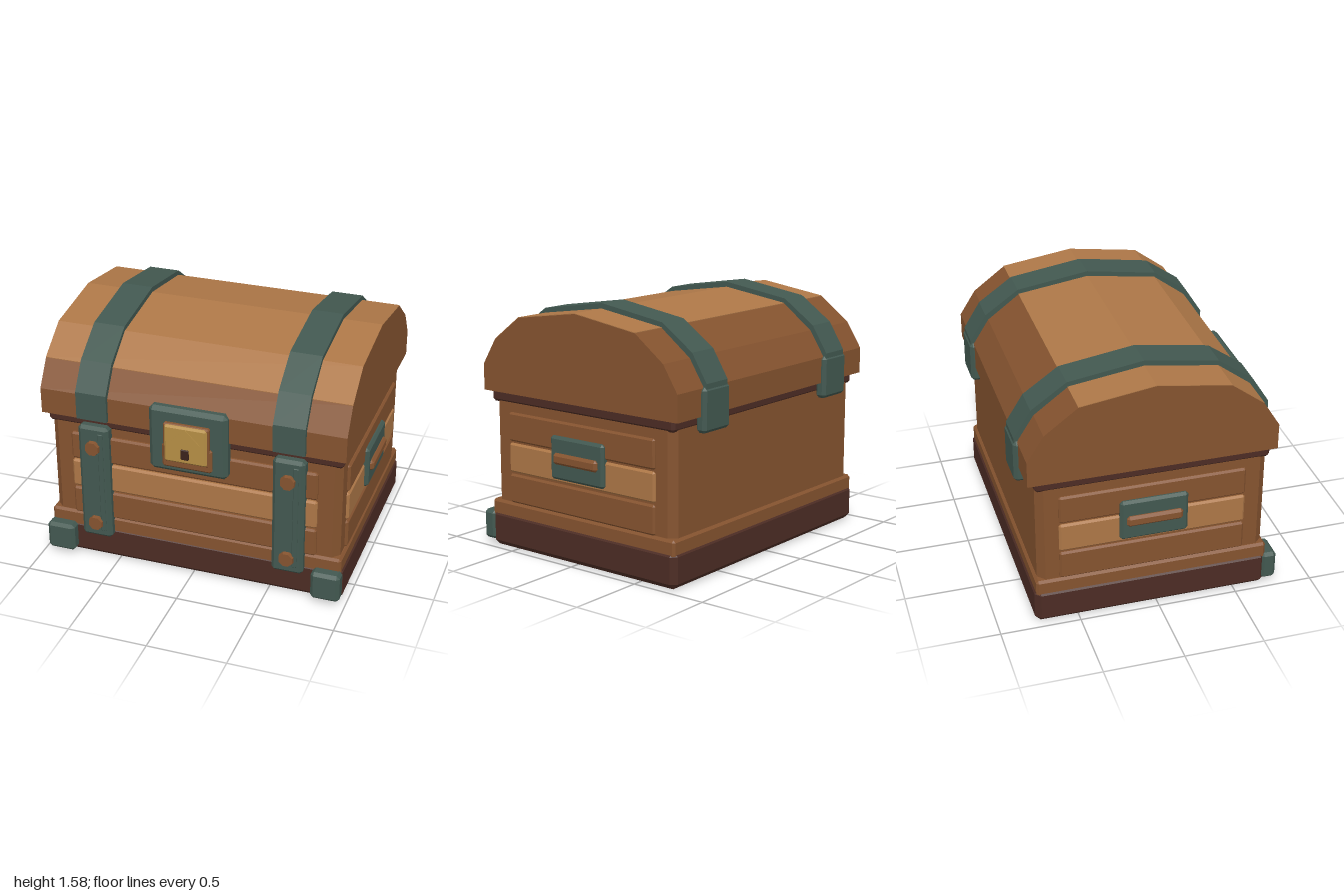
import * as THREE from 'three';
import { ConvexGeometry } from 'three/addons/geometries/ConvexGeometry.js';

const material = (name, color) => {
  const m = new THREE.MeshStandardMaterial({ color });
  m.name = name;
  return m;
};

export function createModel() {
  const wood = material('wood', 0x85532f);
  const lightWood = material('light wood', 0xad7747);
  const darkWood = material('dark wood', 0x4c2c24);
  const iron = material('iron', 0x425850);
  const brass = material('brass', 0xb58e45);
  const keyholeDark = material('keyhole dark', 0x3a221b);

  const chest = new THREE.Group();
  chest.name = 'chest';

  const add = (name, geometry, mat) => {
    const mesh = new THREE.Mesh(geometry, mat);
    mesh.name = name;
    chest.add(mesh);
    return mesh;
  };

  // Box with cut corners, given by its [min, max] ranges
  const block = (name, mat, [x0, x1], [y0, y1], [z0, z1], c) => {
    const w = (x1 - x0) / 2, h = (y1 - y0) / 2, d = (z1 - z0) / 2;
    const points = [];
    for (const a of [-1, 1]) for (const b of [-1, 1]) for (const e of [-1, 1]) {
      points.push(
        new THREE.Vector3(a * w, b * (h - c), e * (d - c)),
        new THREE.Vector3(a * (w - c), b * h, e * (d - c)),
        new THREE.Vector3(a * (w - c), b * (h - c), e * d));
    }
    const mesh = add(name, new ConvexGeometry(points), mat);
    mesh.position.set((x0 + x1) / 2, (y0 + y1) / 2, (z0 + z1) / 2);
    return mesh;
  };

  // Side profile of [z, y] points, extruded across x
  const across = (name, mat, points, width, x = 0) => {
    const shape = new THREE.Shape(points.map(([z, y]) => new THREE.Vector2(z, y)));
    const geometry = new THREE.ExtrudeGeometry(shape, { depth: width, bevelEnabled: false });
    geometry.translate(0, 0, -width / 2).rotateY(-Math.PI / 2);
    add(name, geometry, mat).position.x = x;
  };

  // Base, body and rim
  block('base', darkWood, [-0.965, 0.965], [0, 0.235], [-0.77, 0.71], 0.035);
  block('baseTrim', wood, [-0.955, 0.955], [0.19, 0.3], [-0.76, 0.705], 0.015);
  block('body', wood, [-0.935, 0.935], [0.1, 0.99], [-0.743, 0.688], 0.045);
  block('rim', darkWood, [-0.945, 0.945], [0.93, 1.02], [-0.75, 0.7], 0.018);

  // Planks on the front and both sides
  [[0.3, 0.485], [0.497, 0.683], [0.695, 0.878]].forEach((ys, i) => {
    const mat = i === 1 ? lightWood : wood;
    block('frontPlank', mat, [-0.795, 0.795], ys, [0.66, 0.712], 0.012);
    block('rightPlank', mat, [-0.952, -0.9], ys, [-0.612, 0.552], 0.012);
    block('leftPlank', mat, [0.9, 0.952], ys, [-0.612, 0.552], 0.012);
  });

  // Faceted lid with lighter boards over the top
  const lid = [[0.735, 1], [0.735, 1.165], [0.633, 1.327], [0.428, 1.48], [-0.03, 1.547],
    [-0.49, 1.48], [-0.695, 1.327], [-0.798, 1.165], [-0.798, 1]];
  across('lid', wood, lid, 1.94);
  const boards = lid.slice(2, 6);
  const raised = boards.map(([z, y]) => [z, y + 0.004]).reverse();
  across('lidTopBoards', lightWood, [...boards, ...raised], 1.94);

  // Bands over the lid, following its facets
  const bandOuter = [[0.758, 1.01], [0.758, 1.19], [0.65, 1.36], [0.432, 1.513], [-0.03, 1.584],
    [-0.494, 1.513], [-0.712, 1.36], [-0.818, 1.19], [-0.818, 1.01]];
  const bandInner = lid.map(([z, y]) => [z * 0.985, Math.max(1.01, y - 0.01)]).reverse();

  const rivet = new THREE.CylinderGeometry(0.046, 0.054, 0.04, 8).toNonIndexed();
  rivet.rotateY(Math.PI / 8).rotateX(Math.PI / 2);
  rivet.computeVertexNormals();

  for (const s of [-1, 1]) {
    const x = s * 0.627;
    across('lidBand', iron, [...bandOuter, ...bandInner], 0.2, x);
    block('backClasp', iron, [x - 0.125, x + 0.125], [0.9, 1.17], [-0.826, -0.752], 0.02);

    // Front straps with a raised rib and two rivets
    block('frontStrap', iron, [x - 0.1, x + 0.1], [0.173, 0.962], [0.67, 0.757], 0.02);
    block('strapRib', iron, [x + 0.032, x + 0.066], [0.225, 0.92], [0.74, 0.763], 0.004);
    for (const y of [0.28, 0.82]) {
      add('rivet', rivet, wood).position.set(x, y, 0.762);
    }

    // Iron corner feet
    const corner = [s * 0.967, s * 0.783].sort((a, b) => a - b);
    block('cornerFoot', iron, corner, [0.033, 0.22], [0.68, 0.778], 0.02);

    // Side handle on its plate
    const range = (a, b) => [s * a, s * b].sort((p, q) => p - q);
    block('handlePlate', iron, range(0.915, 0.977), [0.52, 0.79], [-0.242, 0.182], 0.016);
    block('handle', wood, range(0.95, 1), [0.62, 0.69], [-0.205, 0.145], 0.016);
  }

  // Lock: iron plate, wooden surround, brass face, diamond and keyhole
  block('lockPlate', iron, [-0.25, 0.25], [0.757, 1.19], [0.68, 0.775], 0.025);
  block('lockSurround', wood, [-0.16, 0.16], [0.8, 0.96], [0.74, 0.795], 0.015);
  block('lockFrame', wood, [-0.146, 0.146], [0.845, 1.105], [0.74, 0.803], 0.01);
  block('lockFace', brass, [-0.136, 0.136], [0.853, 1.1], [0.76, 0.815], 0.012);
  const diamond = add('lockDiamond', new THREE.BoxGeometry(0.132, 0.132, 0.006), brass);
  diamond.position.set(0, 0.997, 0.816);
  diamond.rotation.z = Math.PI / 4;
  block('keyhole', keyholeDark, [-0.025, 0.025], [0.885, 0.955], [0.79, 0.826], 0.005);

  return chest;
}
